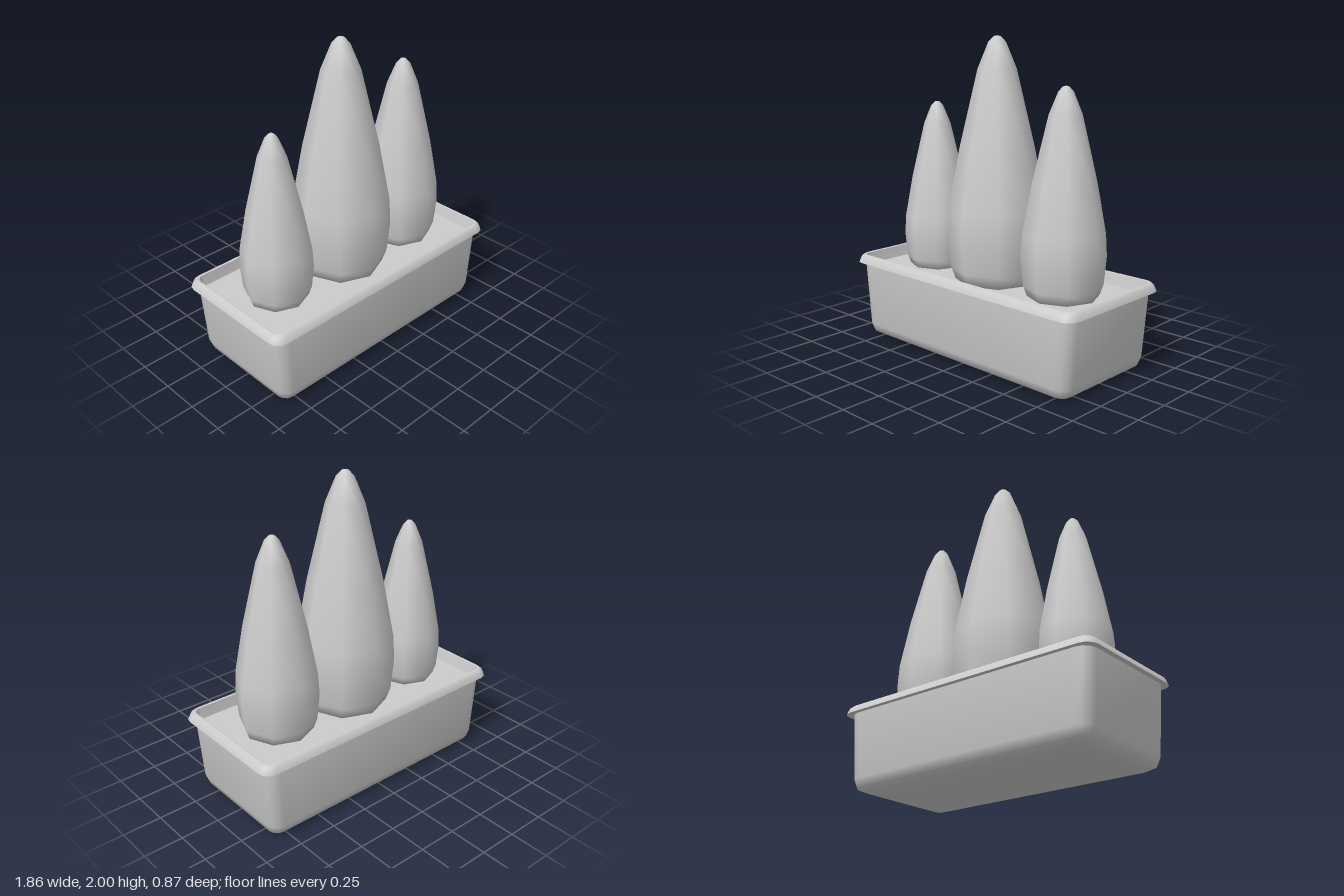
import * as THREE from 'three';
import { toCreasedNormals } from 'three/addons/utils/BufferGeometryUtils.js';

const material = new THREE.MeshStandardMaterial({ color: 0xcccccc });

// Outline of a rounded rectangle, given as half sizes and corner radius
function roundedRing(hx, hz, y, r, steps = 3) {
  const ring = [];
  const corners = [[1, 1], [-1, 1], [-1, -1], [1, -1]];
  corners.forEach(([sx, sz], q) => {
    for (let i = 0; i <= steps; i++) {
      const a = (q + i / steps) * Math.PI / 2;
      ring.push([sx * (hx - r) + r * Math.cos(a), y, sz * (hz - r) + r * Math.sin(a)]);
    }
  });
  return ring;
}

// Skin a list of [halfX, halfZ, y, radius] sections, optionally closing the ends
function loft(sections, capStart, capEnd) {
  const rings = sections.map((s) => roundedRing(...s));
  const n = rings[0].length;
  const positions = rings.flat(2);
  const index = [];
  for (let k = 0; k < rings.length - 1; k++) {
    for (let i = 0; i < n; i++) {
      const a = k * n + i, b = k * n + (i + 1) % n;
      index.push(a, a + n, b, b, a + n, b + n);
    }
  }
  const last = (rings.length - 1) * n;
  for (let i = 1; i < n - 1; i++) {
    if (capStart) index.push(0, i, i + 1);
    if (capEnd) index.push(last, last + i + 1, last + i);
  }
  const geometry = new THREE.BufferGeometry();
  geometry.setAttribute('position', new THREE.Float32BufferAttribute(positions, 3));
  geometry.setIndex(index);
  return toCreasedNormals(geometry, 0.9);
}

function addMesh(parent, name, geometry) {
  const mesh = new THREE.Mesh(geometry, material);
  mesh.name = name;
  parent.add(mesh);
  return mesh;
}

export function createModel() {
  const model = new THREE.Group();
  model.name = 'planterWithTrees';

  // Tapered trough, rolled rim and soil
  const planter = new THREE.Group();
  planter.name = 'planter';
  planter.rotation.y = -0.005;
  model.add(planter);

  addMesh(planter, 'trough', loft([
    [0.78, 0.33, 0.005, 0.03],
    [0.84, 0.375, 0.03, 0.06],
    [0.862, 0.395, 0.085, 0.08],
    [0.895, 0.403, 0.51, 0.08],
  ], true, false));

  addMesh(planter, 'rim', loft([
    [0.89, 0.4, 0.503, 0.08],
    [0.928, 0.433, 0.503, 0.075],
    [0.915, 0.42, 0.54, 0.07],
    [0.895, 0.4, 0.556, 0.055],
    [0.882, 0.387, 0.553, 0.045],
    [0.865, 0.372, 0.48, 0.035],
  ], false, false));

  addMesh(planter, 'soil', loft([
    [0.875, 0.38, 0.47, 0.035],
    [0.87, 0.377, 0.481, 0.035],
  ], false, true));

  // Eight-sided conical trees, all scaled copies of one profile
  const profile = [
    [0, 0], [0.265, 0], [0.294, 0.08], [0.313, 0.29], [0.303, 0.46],
    [0.235, 0.83], [0.12, 1.32], [0.055, 1.48], [0.022, 1.515], [0, 1.52],
  ].map(([r, y]) => new THREE.Vector2(r, y));
  const treeGeometry = new THREE.LatheGeometry(profile, 8);

  const trees = [
    ['rightTree', -0.56, 0.717],
    ['middleTree', -0.02, 1],
    ['leftTree', 0.52, 0.82],
  ];
  for (const [name, x, scale] of trees) {
    const tree = addMesh(model, name, treeGeometry);
    tree.position.set(x, 0.48, 0);
    tree.scale.setScalar(scale);
  }

  return model;
}
